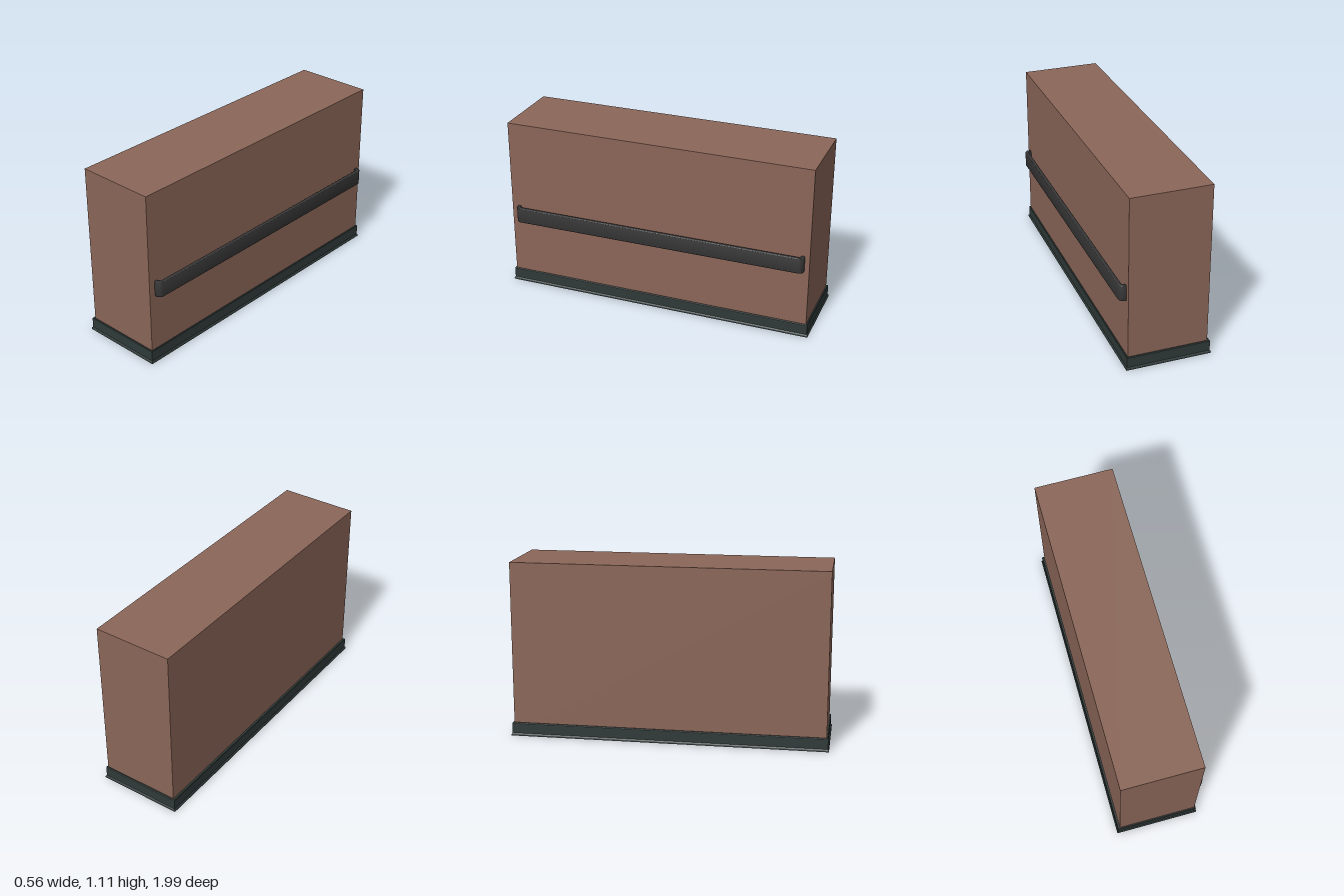
import * as THREE from 'three';
import { toCreasedNormals } from 'three/addons/utils/BufferGeometryUtils.js';

const material = (color) => new THREE.MeshStandardMaterial({ color });

function addMesh(group, name, geometry, mat) {
  const mesh = new THREE.Mesh(geometry, mat);
  mesh.name = name;
  group.add(mesh);
  return mesh;
}

// Sweeps a closed profile of [outset, y] around a rectangle with mitred corners
function mouldingGeometry(halfX, halfZ, profile) {
  const corners = [[-1, 1], [1, 1], [1, -1], [-1, -1]];
  const point = ([sx, sz], [o, y]) => [sx * (halfX + o), y, sz * (halfZ + o)];
  const positions = [];
  for (let c = 0; c < 4; c++) {
    const from = corners[c], to = corners[(c + 1) % 4];
    for (let i = 0; i < profile.length; i++) {
      const p = profile[i], q = profile[(i + 1) % profile.length];
      const a = point(from, p), b = point(to, p), d = point(to, q), e = point(from, q);
      positions.push(...a, ...b, ...d, ...a, ...d, ...e);
    }
  }
  const geometry = new THREE.BufferGeometry();
  geometry.setAttribute('position', new THREE.Float32BufferAttribute(positions, 3));
  geometry.computeVertexNormals();
  return toCreasedNormals(geometry, 0.5);
}

// Flat bar whose rounded ends turn in to meet the wall
function handleGeometry() {
  const wall = 0.23, front = 0.277, z0 = -0.95, z1 = 0.94, t = 0.022, r = 0.03, ri = 0.012;
  const s = new THREE.Shape();
  s.moveTo(wall, z0);
  s.lineTo(front - r, z0);
  s.absarc(front - r, z0 + r, r, -Math.PI / 2, 0, false);
  s.lineTo(front, z1 - r);
  s.absarc(front - r, z1 - r, r, 0, Math.PI / 2, false);
  s.lineTo(wall, z1);
  s.lineTo(wall, z1 - t);
  s.lineTo(front - t - ri, z1 - t);
  s.absarc(front - t - ri, z1 - t - ri, ri, Math.PI / 2, 0, true);
  s.lineTo(front - t, z0 + t + ri);
  s.absarc(front - t - ri, z0 + t + ri, ri, 0, -Math.PI / 2, true);
  s.lineTo(wall, z0 + t);
  s.closePath();
  const bevel = 0.004, height = 0.1;
  const geometry = new THREE.ExtrudeGeometry(s, {
    depth: height - 2 * bevel, curveSegments: 8,
    bevelEnabled: true, bevelSize: bevel, bevelThickness: bevel, bevelOffset: -bevel, bevelSegments: 3,
  });
  geometry.rotateX(Math.PI / 2);
  geometry.translate(0, 0.545 - bevel, 0);
  return toCreasedNormals(geometry, 0.6);
}

export function createModel() {
  const group = new THREE.Group();
  group.name = 'wallSection';

  // Solid wall block
  const bottom = 0.003, top = 1.105;
  const block = addMesh(group, 'wallBlock',
    new THREE.BoxGeometry(0.495, top - bottom, 1.96), material(0x8b6658));
  block.position.set(-0.0125, (top + bottom) / 2, 0);

  // Skirting board with a flared foot, running round all four sides
  const skirting = addMesh(group, 'skirting', mouldingGeometry(0.259, 0.99, [
    [-0.065, 0], [0.006, 0], [0.006, 0.008], [0.004, 0.012], [0, 0.016],
    [0, 0.08], [-0.003, 0.083], [-0.065, 0.083],
  ].reverse()), material(0x2f3a38));
  skirting.position.x = -0.016;
  // Profile order is reversed above so the faces look outward
  skirting.geometry = orientOutward(skirting.geometry);

  // Long grab rail on the left wall
  addMesh(group, 'handrail', handleGeometry(), material(0x363636));

  return group;
}

// Flips the triangles when the enclosed volume comes out negative
function orientOutward(geometry) {
  const p = geometry.attributes.position;
  const [a, b, c] = [0, 1, 2].map(() => new THREE.Vector3());
  let volume = 0;
  for (let i = 0; i < p.count; i += 3) {
    a.fromBufferAttribute(p, i);
    b.fromBufferAttribute(p, i + 1);
    c.fromBufferAttribute(p, i + 2);
    volume += a.dot(b.cross(c));
  }
  if (volume > 0) return geometry;
  for (let i = 0; i < p.count; i += 3) {
    b.fromBufferAttribute(p, i + 1);
    c.fromBufferAttribute(p, i + 2);
    p.setXYZ(i + 1, c.x, c.y, c.z);
    p.setXYZ(i + 2, b.x, b.y, b.z);
  }
  geometry.computeVertexNormals();
  return toCreasedNormals(geometry, 0.5);
}
